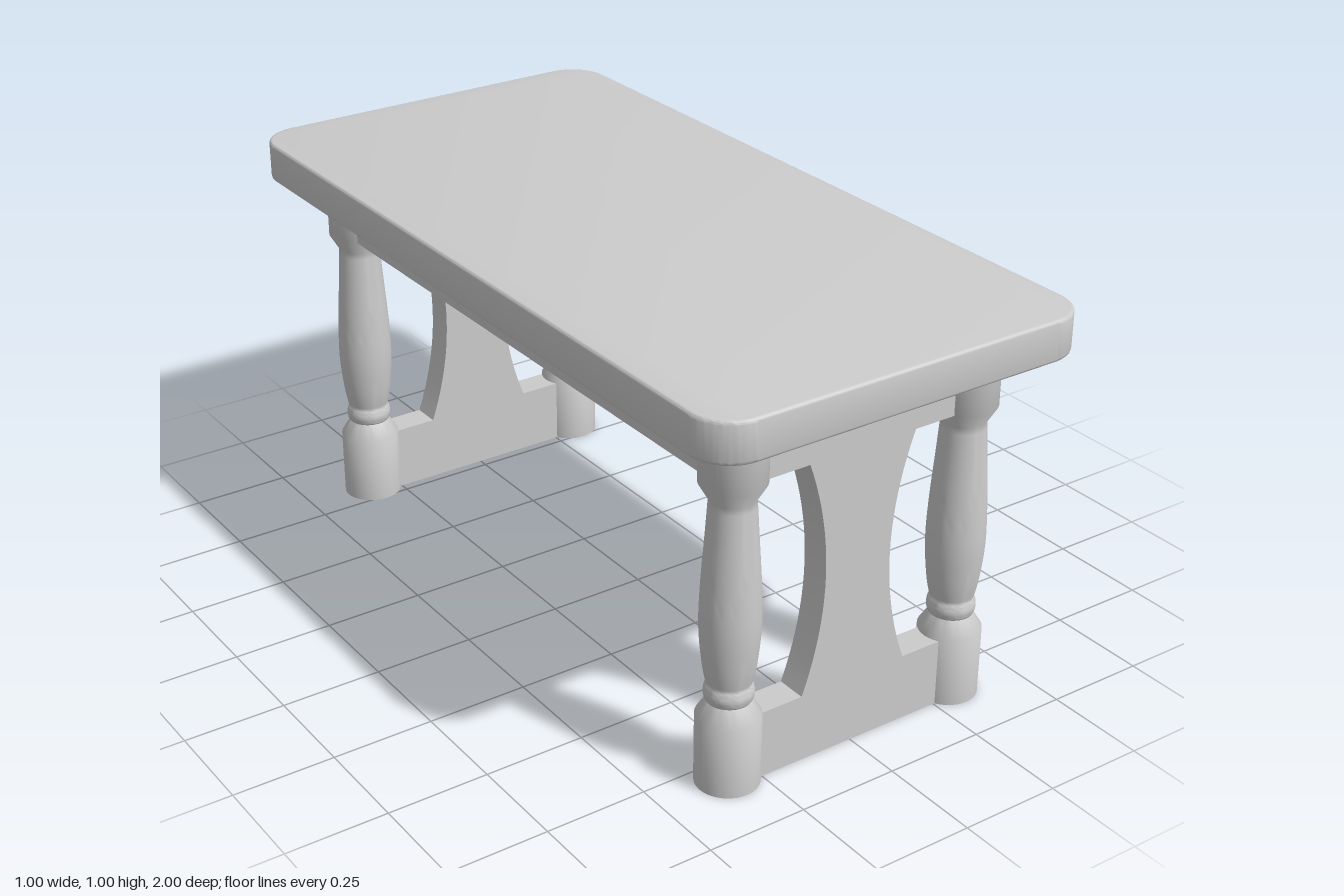
import * as THREE from 'three';
import { toCreasedNormals } from 'three/addons/utils/BufferGeometryUtils.js';

const LEG_X = 0.319, LEG_Z = 0.813, LEG_R = 0.075;
const TOP_Y = 0.9, RAIL_Y = 0.752, BOARD = 0.075;
const material = new THREE.MeshStandardMaterial({ color: 0xcccccc });

function addPart(group, name, geometry) {
  const mesh = new THREE.Mesh(geometry, material);
  mesh.name = name;
  group.add(mesh);
  return mesh;
}

// Rounded-corner slab with a small softened edge
function tabletopGeometry() {
  const b = 0.008, w = 0.5 - b, d = 1 - b, r = 0.1 - b;
  const s = new THREE.Shape();
  s.absarc(w - r, d - r, r, 0, Math.PI / 2);
  s.absarc(-w + r, d - r, r, Math.PI / 2, Math.PI);
  s.absarc(-w + r, -d + r, r, Math.PI, Math.PI * 1.5);
  s.absarc(w - r, -d + r, r, Math.PI * 1.5, Math.PI * 2);
  s.closePath();
  const g = new THREE.ExtrudeGeometry(s, {
    depth: 1 - TOP_Y - 2 * b, bevelSize: b, bevelThickness: b, bevelSegments: 3, curveSegments: 12,
  });
  g.rotateX(-Math.PI / 2).translate(0, TOP_Y + b, 0);
  return toCreasedNormals(g, 0.6);
}

// Turned leg: plain foot, soft bead, swelling shaft and plain head
function legGeometry() {
  const shaft = new THREE.SplineCurve([
    [0.051, 0.256], [0.061, 0.31], [0.0685, 0.40], [0.066, 0.50], [0.058, 0.62], [0.052, 0.712],
  ].map(([r, y]) => new THREE.Vector2(r, y))).getPoints(20);
  const bead = [];
  for (let i = 0; i < 8; i++) {
    const a = Math.PI * i / 8;
    bead.push(new THREE.Vector2(0.05 + 0.007 * Math.sin(a), 0.235 - 0.02 * Math.cos(a)));
  }
  const points = [
    new THREE.Vector2(0, 0), new THREE.Vector2(LEG_R, 0), new THREE.Vector2(LEG_R, 0.175),
    ...bead, ...shaft,
    new THREE.Vector2(LEG_R, RAIL_Y), new THREE.Vector2(LEG_R, TOP_Y), new THREE.Vector2(0, TOP_Y),
  ];
  return toCreasedNormals(new THREE.LatheGeometry(points, 40), 1);
}

// End panel: two rails joined by a waisted splat
function endPanelGeometry() {
  const low = 0.17, wide = 0.145, waist = 0.09;
  const mid = (low + RAIL_Y) / 2, ctrl = 2 * waist - wide;
  const s = new THREE.Shape();
  s.moveTo(-LEG_X, 0);
  s.lineTo(LEG_X, 0);
  s.lineTo(LEG_X, low);
  s.lineTo(wide, low);
  s.quadraticCurveTo(ctrl, mid, wide, RAIL_Y);
  s.lineTo(LEG_X, RAIL_Y);
  s.lineTo(LEG_X, TOP_Y);
  s.lineTo(-LEG_X, TOP_Y);
  s.lineTo(-LEG_X, RAIL_Y);
  s.lineTo(-wide, RAIL_Y);
  s.quadraticCurveTo(-ctrl, mid, -wide, low);
  s.lineTo(-LEG_X, low);
  s.closePath();
  const g = new THREE.ExtrudeGeometry(s, { depth: BOARD, bevelEnabled: false, curveSegments: 20 });
  g.translate(0, 0, -BOARD / 2);
  return toCreasedNormals(g, 0.5);
}

export function createModel() {
  const table = new THREE.Group();
  table.name = 'table';
  addPart(table, 'tabletop', tabletopGeometry());

  // End frames, each a panel between two legs
  const leg = legGeometry(), panel = endPanelGeometry();
  for (const sz of [1, -1]) {
    const end = sz > 0 ? 'front' : 'back';
    addPart(table, end + 'Panel', panel).position.z = sz * LEG_Z;
    for (const sx of [1, -1]) {
      addPart(table, end + (sx > 0 ? 'Left' : 'Right') + 'Leg', leg).position.set(sx * LEG_X, 0, sz * LEG_Z);
    }
  }

  // Long rails under the tabletop, centred on the legs
  const apron = new THREE.BoxGeometry(BOARD, TOP_Y - RAIL_Y, 2 * LEG_Z);
  for (const sx of [1, -1]) {
    addPart(table, (sx > 0 ? 'left' : 'right') + 'Apron', apron)
      .position.set(sx * LEG_X, (TOP_Y + RAIL_Y) / 2, 0);
  }
  return table;
}
